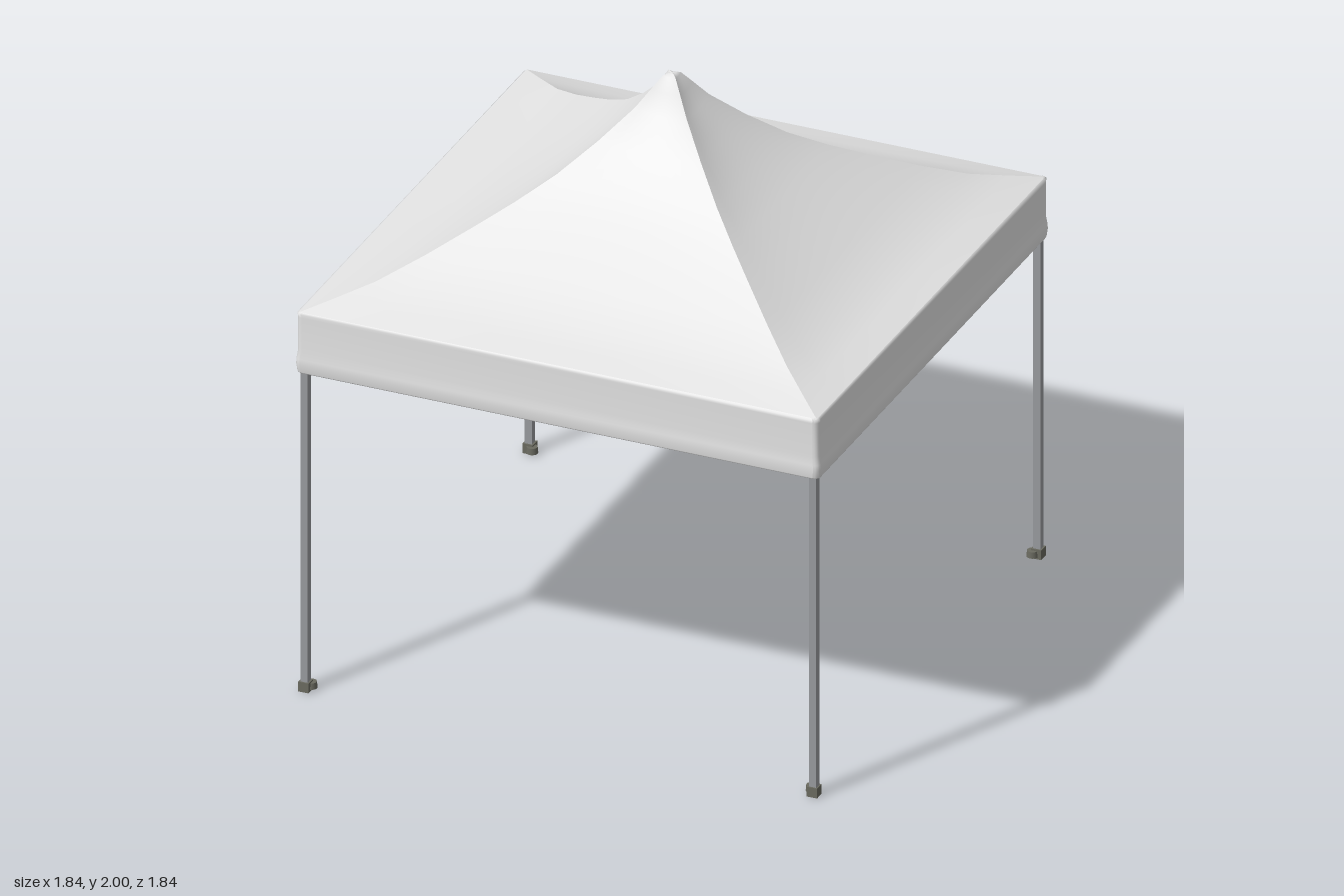
import * as THREE from 'three';

const mat = (name, color, side = THREE.FrontSide) => {
  const m = new THREE.MeshStandardMaterial({ color, side });
  m.name = name;
  return m;
};

// Smooth surface through rows of points; columns run left to right, rows bottom to top
function skin(rows, inward = false) {
  const n = rows[0].length, pos = rows.flat(2), index = [];
  for (let j = 0; j < rows.length - 1; j++) {
    for (let i = 0; i < n - 1; i++) {
      const a = j * n + i, b = a + 1, c = a + n, d = c + 1;
      if (inward) index.push(a, c, b, b, c, d);
      else index.push(a, b, c, b, d, c);
    }
  }
  const g = new THREE.BufferGeometry();
  g.setAttribute('position', new THREE.Float32BufferAttribute(pos, 3));
  g.setIndex(index);
  g.computeVertexNormals();
  return g;
}

// Closed square ring with rounded corners
function squareRing(r, y, radius) {
  const pts = [];
  for (let k = 0; k < 4; k++) {
    const sx = k < 2 ? 1 : -1, sz = k === 0 || k === 3 ? 1 : -1;
    for (let s = 0; s <= 4; s++) {
      const t = (k + s / 4) * Math.PI / 2;
      pts.push([sx * (r - radius) + radius * Math.sin(t), y, sz * (r - radius) + radius * Math.cos(t)]);
    }
  }
  pts.push(pts[0]);
  return pts;
}

// One of four roof panels: a concave slope that sags a little between the hips
const slope = [[0.909, 1.375], [0.82, 1.403], [0.72, 1.437], [0.6, 1.5], [0.48, 1.572], [0.38, 1.635],
  [0.28, 1.707], [0.18, 1.8], [0.09, 1.897], [0.05, 1.955], [0.022, 1.995], [0.012, 2], [0, 2]];
function roofPanel(drop, inward) {
  const rows = slope.map(([r, y]) => {
    const row = [];
    for (let i = 0; i <= 12; i++) {
      const u = i / 6 - 1;
      const sag = 0.016 * (1 - u * u) * Math.min(1, r / 0.1) * Math.min(1, (0.909 - r) / 0.2);
      row.push([u * r, y - drop - sag, r]);
    }
    return row;
  });
  return skin(rows, inward);
}

export function createModel() {
  const canvas = mat('white canvas', 0xe4e4e4);
  const lining = mat('grey green lining', 0x9a9f8d);
  const steel = mat('steel', 0x999b9e);
  const dark = mat('dark strut metal', 0x5c6168);
  const footMat = mat('foot plastic', 0x6a6a60);
  const model = new THREE.Group();
  model.name = 'canopyTent';

  const add = (name, geo, material, parent = model) => {
    const m = new THREE.Mesh(geo, material);
    m.name = name;
    parent.add(m);
    return m;
  };
  const box = (name, w, h, d, x, y, z, material, parent) => {
    const m = add(name, new THREE.BoxGeometry(w, h, d), material, parent);
    m.position.set(x, y, z);
    return m;
  };

  // Roof cloth and its lining
  const outer = roofPanel(0, false), inner = roofPanel(0.008, true);
  for (let k = 0; k < 4; k++) {
    add('roofPanel', outer, canvas).rotation.y = k * Math.PI / 2;
    add('roofLining', inner, lining).rotation.y = k * Math.PI / 2;
  }

  // Valance with a slightly swollen hem
  const valance = [[0.908, 1.16], [0.914, 1.16], [0.916, 1.164], [0.919, 1.19], [0.918, 1.21],
    [0.914, 1.24], [0.914, 1.36], [0.916, 1.372], [0.909, 1.377]];
  add('valance', skin(valance.map(([r, y]) => squareRing(r, y, 0.02))), canvas);
  add('valanceLining', skin([1.16, 1.372].map(y => squareRing(0.908, y, 0.018)), true), lining);

  // Legs with sliding brackets and feet at the four corners
  const p = 0.891;
  for (const sx of [-1, 1]) {
    for (const sz of [-1, 1]) {
      const leg = new THREE.Group();
      leg.name = 'leg';
      leg.position.set(sx * p, 0, sz * p);
      model.add(leg);
      box('legTube', 0.026, 1.35, 0.026, 0, 0.685, 0, steel, leg);
      for (const y of [1.18, 1.34]) box('bracket', 0.032, 0.03, 0.032, 0, y, 0, dark, leg);
      box('footSocket', 0.036, 0.035, 0.036, 0, 0.0175, 0, footMat, leg);
      const pad = add('footPad', new THREE.CylinderGeometry(0.018, 0.02, 0.022, 16), footMat, leg);
      pad.position.set(-sx * 0.014, 0.018, -sz * 0.014);
    }
  }

  // Scissor trusses along the sides and from each side to the centre
  const low = 1.185, high = 1.335;
  const strut = (a, b) => {
    const m = add('strut', new THREE.BoxGeometry(0.008, 0.014, a.distanceTo(b)), dark);
    m.position.copy(a).add(b).multiplyScalar(0.5);
    m.lookAt(b);
  };
  const scissor = (x0, z0, x1, z1) => {
    const v = (x, y, z) => new THREE.Vector3(x, y, z);
    strut(v(x0, low, z0), v(x1, high, z1));
    strut(v(x0, high, z0), v(x1, low, z1));
    box('pivot', 0.014, 0.014, 0.014, (x0 + x1) / 2, (low + high) / 2, (z0 + z1) / 2, dark);
  };
  const q = 0.885;
  for (const s of [-1, 1]) {
    for (const t of [-1, 1]) {
      scissor(s * q, t * q, 0, t * q);
      scissor(s * q, t * q, s * q, 0);
    }
    scissor(s * q, 0, 0, 0);
    scissor(0, s * q, 0, 0);
    for (const y of [low, high]) {
      box('sideJoint', 0.026, 0.024, 0.026, s * q, y, 0, dark);
      box('sideJoint', 0.026, 0.024, 0.026, 0, y, s * q, dark);
    }
  }

  // Centre pole holding up the peak
  const pole = add('centrePole', new THREE.CylinderGeometry(0.012, 0.012, 0.77, 12), steel);
  pole.position.y = 1.555;
  for (const y of [low, high]) box('centreHub', 0.04, 0.026, 0.04, 0, y, 0, dark);

  return model;
}
